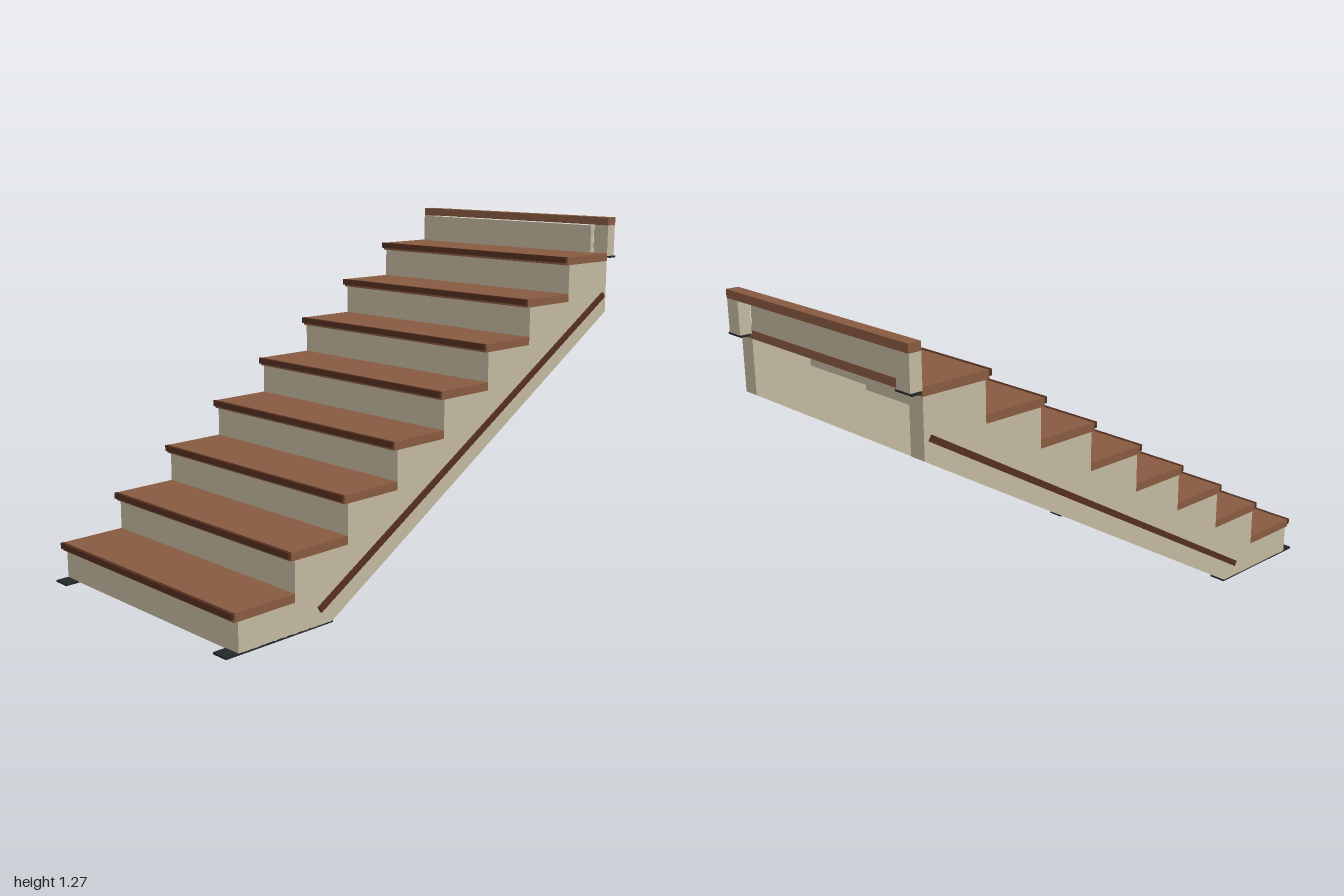
import * as THREE from 'three';

const STEPS = 8, RUN = 0.2365, RISE = 0.1415;
const FRONT = 0.95, BACK = -0.952, HALF = 0.49, INNER = 0.425, THICK = 0.03;

export function createModel() {
  const mat = (name, color) => {
    const m = new THREE.MeshStandardMaterial({ color });
    m.name = name;
    return m;
  };
  const paint = mat('cream paint', 0xc2b8a0);
  const wood = mat('brown wood', 0x885a40);
  const dark = mat('dark wood', 0x542f20);
  const rubber = mat('black rubber', 0x23292b);

  const model = new THREE.Group();
  model.name = 'staircase';

  // Box given by its lower and upper limits on each axis
  const box = (name, material, [x0, x1], [y0, y1], [z0, z1]) => {
    const mesh = new THREE.Mesh(new THREE.BoxGeometry(x1 - x0, y1 - y0, z1 - z0), material);
    mesh.position.set((x0 + x1) / 2, (y0 + y1) / 2, (z0 + z1) / 2);
    mesh.name = name;
    model.add(mesh);
    return mesh;
  };
  const full = [-HALF, HALF], between = [-INNER, INNER];

  // Treads with dark nosings, risers and support cleats
  for (let i = 0; i < STEPS; i++) {
    const top = RISE * (i + 1), under = top - THICK;
    const face = FRONT - RUN * i;
    const rear = i === STEPS - 1 ? BACK : face - RUN;
    box('tread', wood, full, [under, top], [rear, face + 0.015]);
    box('nosing', dark, full, [top - 0.021, top + 0.001], [face + 0.013, face + 0.026]);
    box('riser', paint, between, [Math.max(0.005, top - RISE - THICK), under], [face - 0.018, face]);
    box('cleat', dark, between, [under - 0.03, under], [face - 0.14, face - 0.09]);
  }

  // Sawtooth stringer profile, drawn with z to the left
  const outline = new THREE.Shape();
  outline.moveTo(-FRONT, 0.005);
  for (let i = 0; i < STEPS; i++) {
    const y = RISE * (i + 1) - THICK, z = FRONT - RUN * i;
    outline.lineTo(-z, y);
    outline.lineTo(-(i === STEPS - 1 ? BACK : z - RUN), y);
  }
  outline.lineTo(-BACK, 0.9);
  outline.lineTo(-0.55, 0.005);
  outline.closePath();
  const stringerGeo = new THREE.ExtrudeGeometry(outline, { depth: HALF - INNER, bevelEnabled: false });
  stringerGeo.rotateY(Math.PI / 2);

  for (const side of [-1, 1]) {
    const span = (a, b) => (side > 0 ? [a, b] : [-b, -a]);

    const stringer = new THREE.Mesh(stringerGeo, paint);
    stringer.name = 'stringer';
    stringer.position.x = side > 0 ? INNER : -HALF;
    model.add(stringer);

    // Slanted trim strip on the outer face
    const dy = 0.91, dz = -1.54;
    const trim = new THREE.Mesh(new THREE.BoxGeometry(0.009, 0.022, Math.hypot(dy, dz)), dark);
    trim.name = 'sideTrim';
    trim.position.set(side * 0.4945, 0.515, -0.16);
    trim.rotation.x = Math.atan2(dy, -dz);
    model.add(trim);

    // Ground pad, top post and its pad
    box('footPad', rubber, span(INNER, HALF), [0, 0.007], [0.545, 1]);
    box('topPost', paint, span(INNER, HALF), [1.121, 1.242], [-0.998, -0.952]);
    box('postPad', rubber, span(INNER - 0.005, 0.498), [1.114, 1.121], [-0.998, -0.962]);
  }

  // Top barrier
  box('backPanel', paint, between, [1.132, 1.24], [-0.95, -0.93]);
  box('topRail', wood, [-HALF, HALF], [1.242, 1.272], [-1, -0.952]);

  return model;
}
